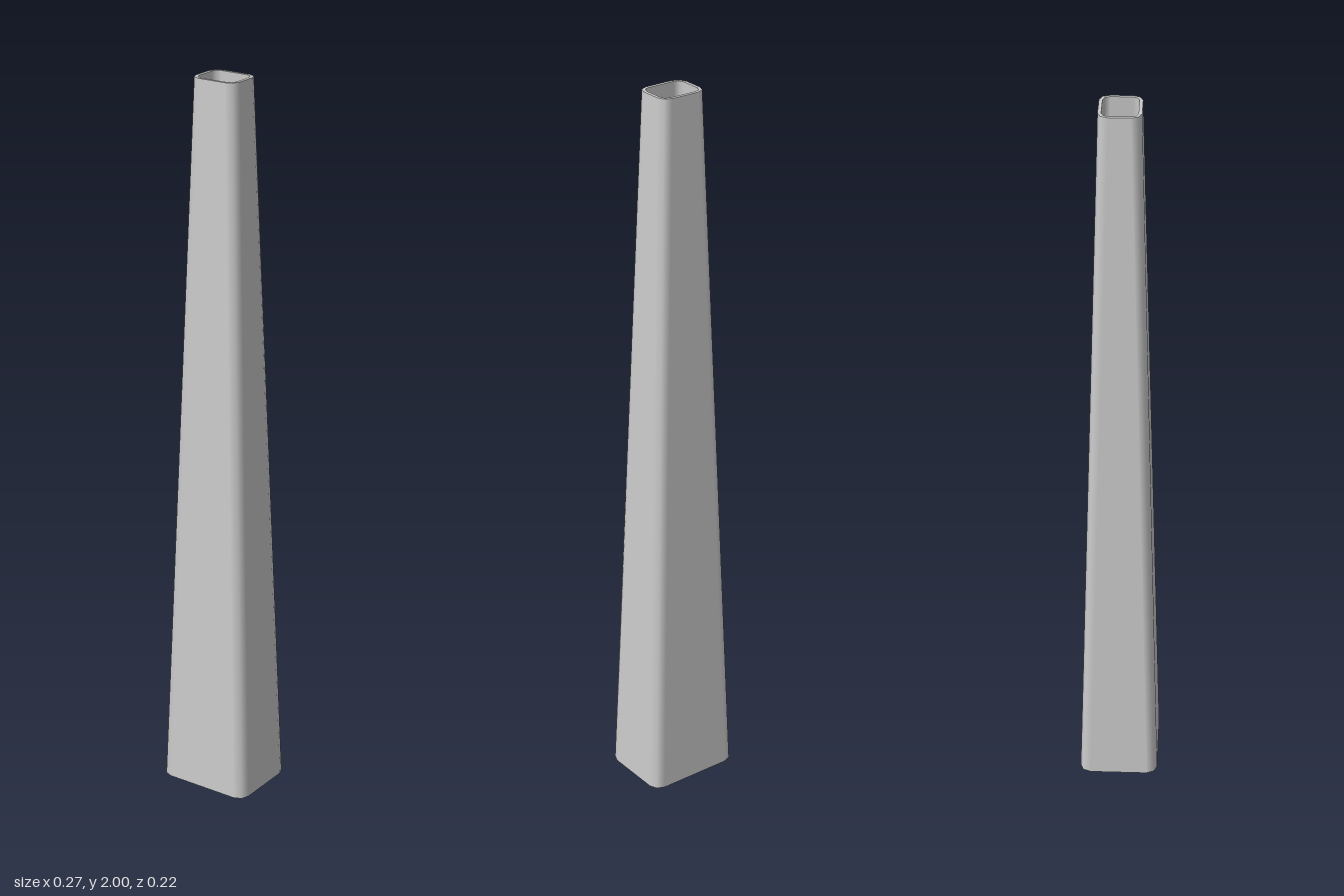
import * as THREE from 'three';

const CORNER_STEPS = 2;

// Rounded-rectangle loop at height y; cx, cz are the corner centres, r their radius
function loop(y, cx, cz, r) {
  const points = [];
  [[1, 1], [-1, 1], [-1, -1], [1, -1]].forEach(([sx, sz], corner) => {
    for (let i = 0; i <= CORNER_STEPS; i++) {
      const angle = (corner + i / CORNER_STEPS) * Math.PI / 2;
      const p = new THREE.Vector3(sx * cx + r * Math.cos(angle), y, sz * cz + r * Math.sin(angle));
      points.push({ p, angle });
    }
  });
  return points;
}

// Closed band between two loops, flat on the panels and smooth round the corners
function band(from, to) {
  const position = [], normal = [], index = [];
  const n = from.length;
  for (let i = 0; i < n; i++) {
    const a = from[i], b = to[i];
    const tangent = new THREE.Vector3(-Math.sin(a.angle), 0, Math.cos(a.angle));
    const nor = b.p.clone().sub(a.p).cross(tangent).normalize();
    position.push(...a.p.toArray(), ...b.p.toArray());
    normal.push(...nor.toArray(), ...nor.toArray());
    const j = 2 * i, k = 2 * ((i + 1) % n);
    index.push(j, j + 1, k, k, j + 1, k + 1);
  }
  const geometry = new THREE.BufferGeometry();
  geometry.setAttribute('position', new THREE.Float32BufferAttribute(position, 3));
  geometry.setAttribute('normal', new THREE.Float32BufferAttribute(normal, 3));
  geometry.setIndex(index);
  return geometry;
}

export function createModel() {
  const group = new THREE.Group();
  group.name = 'taperedTube';
  const material = new THREE.MeshStandardMaterial({ color: 0xcccccc });

  const wall = 0.009;
  const bottom = [0, 0.107, 0.079], top = [2, 0.04, 0.028];
  const outerBottom = loop(...bottom, 0.03);
  const outerTop = loop(...top, 0.027);
  const innerTop = loop(...top, 0.027 - wall);
  const innerBottom = loop(...bottom, 0.03 - wall);

  // Outer wall, top rim, inner wall and bottom rim of the open tube
  const parts = {
    outerWall: [outerBottom, outerTop],
    topRim: [outerTop, innerTop],
    innerWall: [innerTop, innerBottom],
    bottomRim: [innerBottom, outerBottom],
  };
  for (const [name, [from, to]] of Object.entries(parts)) {
    const mesh = new THREE.Mesh(band(from, to), material);
    mesh.name = name;
    group.add(mesh);
  }
  return group;
}
